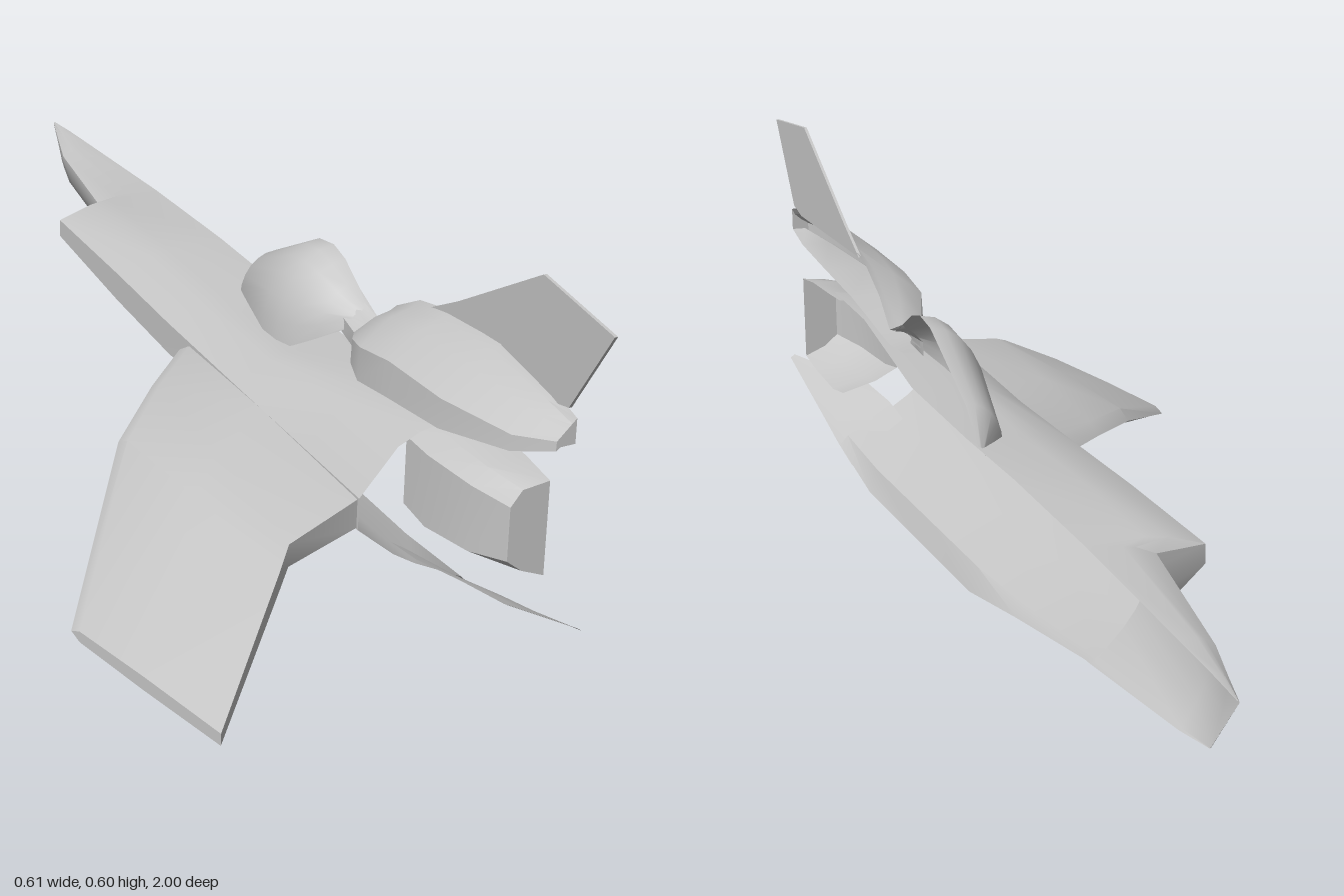
import * as THREE from 'three';
import { toCreasedNormals } from 'three/addons/utils/BufferGeometryUtils.js';

const CUT = 0.305; // x of the open centre plane; sections are given as distance d from it
const hullGrey = new THREE.MeshStandardMaterial({ color: 0xc6c6c6, side: THREE.DoubleSide });
hullGrey.name = 'hullGrey';
const mix = THREE.MathUtils.lerp;

// Skin between cross-sections of equal point count; optionally closed rings and an end cap
function loft(name, sections, { closed = false, capEnd = false, crease = 0.6 } = {}) {
  const n = sections[0].length;
  const index = [];
  for (let s = 0; s < sections.length - 1; s++) {
    for (let i = 0; i < (closed ? n : n - 1); i++) {
      const a = s * n + i, b = s * n + ((i + 1) % n);
      index.push(a, b, a + n, b, b + n, a + n);
    }
  }
  if (capEnd) {
    const start = (sections.length - 1) * n;
    for (let i = 1; i < n - 1; i++) index.push(start, start + i, start + i + 1);
  }
  const geometry = new THREE.BufferGeometry();
  geometry.setAttribute('position', new THREE.Float32BufferAttribute(sections.flat(2), 3));
  geometry.setIndex(index);
  const mesh = new THREE.Mesh(toCreasedNormals(geometry, crease), hullGrey);
  mesh.name = name;
  return mesh;
}

// Turns [d, y] pairs at one z into points
const at = (z, pairs) => pairs.map(([d, y]) => [CUT - d, y, z]);

// Fuselage half-shell, from top centre round the chine to the keel
function fuselage() {
  // z, top, shoulder y, half width, chine top, chine bottom, keel side y, keel
  const rows = [
    [-1, 0.222, 0.222, 0.003, 0.22, 0.219, 0.216, 0.215],
    [-0.92, 0.229, 0.228, 0.026, 0.218, 0.21, 0.122, 0.12],
    [-0.82, 0.235, 0.234, 0.055, 0.218, 0.208, 0.106, 0.104],
    [-0.515, 0.253, 0.251, 0.105, 0.232, 0.21, 0.079, 0.077],
    [-0.495, 0.254, 0.252, 0.193, 0.226, 0.195, 0.078, 0.076],
    [-0.22, 0.263, 0.258, 0.195, 0.226, 0.176, 0.053, 0.035],
    [-0.01, 0.263, 0.254, 0.196, 0.222, 0.168, 0.04, 0],
    [0.25, 0.27, 0.262, 0.195, 0.22, 0.165, 0.04, 0],
    [0.5, 0.322, 0.308, 0.195, 0.22, 0.165, 0.04, 0],
    [0.67, 0.328, 0.31, 0.195, 0.22, 0.168, 0.052, 0.035],
  ];
  return loft('fuselage', rows.map(([z, top, shoulder, w, high, low, side, keel]) => at(z, [
    [0, top], [w * 0.5, shoulder], [w * 0.69, mix(shoulder, high, 0.2)], [w, high], [w, low],
    [w * 0.69, mix(low, side, 0.45)], [w * 0.5, mix(low, side, 0.65)], [w * 0.08, side], [0, keel],
  ])));
}

// Wing: thin profiles from leading edge [x, y, z] to trailing edge
function wing() {
  const profile = ([lx, ly, lz], [tx, ty, tz], thick) => {
    const upper = [[0.06, 0.4], [0.5, 0.5], [1, 0.43]];
    const lower = upper.map(([t, h]) => [t, -h]).reverse();
    return [[0, 0], ...upper, ...lower].map(([t, h]) => [mix(lx, tx, t), mix(ly, ty, t) + h * thick, mix(lz, tz, t)]);
  };
  return loft('wing', [
    profile([0.12, 0.195, 0.03], [0.11, 0.193, 0.665], 0.054),
    profile([0.02, 0.182, 0.13], [-0.02, 0.172, 0.705], 0.042),
    profile([-0.09, 0.158, 0.25], [-0.05, 0.158, 0.74], 0.036),
    profile([-0.303, 0.043, 0.575], [-0.23, 0.05, 0.93], 0.022),
  ], { closed: true, capEnd: true });
}

// Canopy: half-elliptic arches
function canopy() {
  // z, half width, base y, top y
  const arches = [
    [-0.065, 0.012, 0.25, 0.266], [-0.01, 0.062, 0.248, 0.32], [0.15, 0.1, 0.245, 0.402], [0.2, 0.1, 0.246, 0.41],
    [0.24, 0.09, 0.265, 0.4], [0.28, 0.068, 0.29, 0.376], [0.33, 0.03, 0.325, 0.347],
  ];
  return loft('canopy', arches.map(([z, w, base, top]) => {
    const arch = [];
    for (let i = 0; i <= 6; i++) {
      const a = (i / 6) * Math.PI / 2;
      arch.push([w * Math.sin(a), mix(base, top, Math.cos(a))]);
    }
    return at(z, arch);
  }), { crease: 0.8 });
}

// Dorsal pod behind the canopy, with a skirt over the fuselage
function dorsalPod() {
  // z, top, shoulder y, half width, side y, skirt y
  const rows = [
    [0.29, 0.37, 0.355, 0.035, 0.335, 0.31],
    [0.36, 0.342, 0.338, 0.045, 0.33, 0.305],
    [0.41, 0.388, 0.375, 0.075, 0.345, 0.305],
    [0.48, 0.425, 0.405, 0.1, 0.365, 0.31],
    [0.57, 0.445, 0.42, 0.1, 0.38, 0.322],
    [0.72, 0.46, 0.425, 0.098, 0.385, 0.338],
    [0.86, 0.44, 0.415, 0.065, 0.385, 0.36],
    [0.92, 0.425, 0.405, 0.03, 0.395, 0.38],
  ];
  return loft('dorsalPod', rows.map(([z, top, shoulder, w, side, skirt]) => at(z, [
    [0, top], [w * 0.15, mix(top, shoulder, 0.5)], [w * 0.5, shoulder], [w, side],
    [w * 1.02, skirt], [w * 0.8, mix(skirt, side, 0.35)], [0, mix(skirt, side, 0.4)],
  ])), { capEnd: true });
}

// Tapering engine block behind the fuselage
function engineBlock() {
  // z, half width, top, bottom
  const rows = [[0.64, 0.104, 0.32, 0.145], [0.7, 0.102, 0.316, 0.135], [0.8, 0.088, 0.312, 0.142], [0.865, 0.062, 0.303, 0.152]];
  return loft('engineBlock', rows.map(([z, w, top, low]) => at(z, [
    [0, top], [w * 0.7, top - 0.006], [w, top - 0.03], [w, low + 0.035], [w * 0.6, low + 0.015], [0, low],
  ])), { capEnd: true });
}

// Upswept lip trailing from the belly
function bellyLip() {
  // z, half width, keel y, edge y
  const rows = [[0.6, 0.1, 0.018, 0.094], [0.68, 0.1, 0.036, 0.104], [0.78, 0.085, 0.065, 0.118], [0.86, 0.058, 0.087, 0.115], [0.97, 0.008, 0.118, 0.124]];
  return loft('bellyLip', rows.map(([z, w, keel, edge]) => at(z, [
    [0, keel], [w * 0.15, mix(keel, edge, 0.22)], [w * 0.6, mix(keel, edge, 0.65)], [w, edge],
  ])));
}

// Thin vertical fin on the centre plane
function tailFin() {
  const outline = [[0.52, 0.43], [0.6, 0.472], [0.82, 0.6], [1, 0.58], [0.905, 0.435], [0.86, 0.425]];
  const shape = new THREE.Shape(outline.map(([z, y]) => new THREE.Vector2(-z, y)));
  const geometry = new THREE.ExtrudeGeometry(shape, { depth: 0.005, bevelEnabled: false });
  geometry.rotateY(Math.PI / 2).translate(CUT - 0.005, 0, 0);
  const mesh = new THREE.Mesh(geometry, hullGrey);
  mesh.name = 'tailFin';
  return mesh;
}

export function createModel() {
  const model = new THREE.Group();
  model.name = 'halfSpacecraft';
  model.add(fuselage(), wing(), canopy(), dorsalPod(), engineBlock(), bellyLip(), tailFin());
  return model;
}
